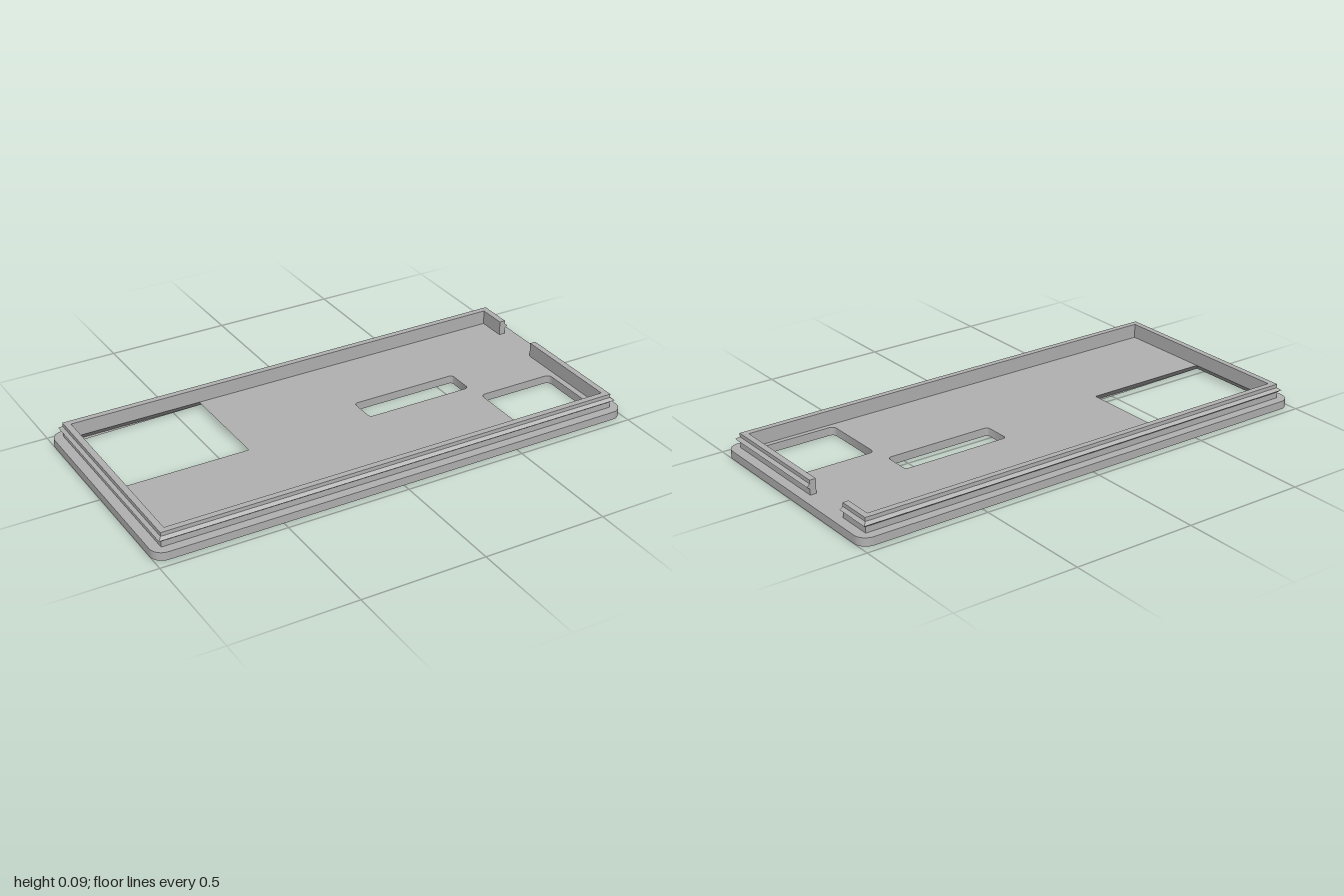
import * as THREE from 'three';
import { toCreasedNormals } from 'three/addons/utils/BufferGeometryUtils.js';

const BASE = 0.033; // thickness of the base plate

// Rounded rectangle from x0,z0 to x1,z1, drawn into a Shape or Path
function roundedRect(path, x0, z0, x1, z1, r) {
  path.moveTo(x0 + r, z0);
  path.lineTo(x1 - r, z0);
  path.absarc(x1 - r, z0 + r, r, -Math.PI / 2, 0);
  path.lineTo(x1, z1 - r);
  path.absarc(x1 - r, z1 - r, r, 0, Math.PI / 2);
  path.lineTo(x0 + r, z1);
  path.absarc(x0 + r, z1 - r, r, Math.PI / 2, Math.PI);
  path.lineTo(x0, z0 + r);
  path.absarc(x0 + r, z0 + r, r, Math.PI, Math.PI * 1.5);
  return path;
}

// Plate with two rounded openings and a window that widens towards the underside
function plateGeometry() {
  const shape = roundedRect(new THREE.Shape(), -1, -0.468, 1, 0.468, 0.05);
  const win = { x0: -0.935, x1: -0.4, z0: -0.405, z1: 0.01 };
  shape.holes.push(
    roundedRect(new THREE.Path(), 0.118, -0.092, 0.572, 0.026, 0.015),
    roundedRect(new THREE.Path(), 0.583, 0.1, 0.91, 0.385, 0.02),
    new THREE.Path([
      new THREE.Vector2(win.x0, win.z0), new THREE.Vector2(win.x1, win.z0),
      new THREE.Vector2(win.x1, win.z1), new THREE.Vector2(win.x0, win.z1),
    ]),
  );
  const geo = new THREE.ExtrudeGeometry(shape, { depth: BASE, bevelEnabled: false, curveSegments: 8 });
  geo.rotateX(Math.PI / 2).translate(0, BASE, 0);

  // Push the lower window corners outwards to slope its four sides
  const p = geo.attributes.position;
  const near = (a, b) => Math.abs(a - b) < 1e-4;
  for (let i = 0; i < p.count; i++) {
    const x = p.getX(i), z = p.getZ(i);
    const onX = near(x, win.x0) || near(x, win.x1);
    const onZ = near(z, win.z0) || near(z, win.z1);
    if (p.getY(i) > 1e-4 || !onX || !onZ) continue;
    p.setX(i, x + (near(x, win.x0) ? -BASE : BASE));
    p.setZ(i, z + (near(z, win.z0) ? -BASE : BASE));
  }
  return toCreasedNormals(geo, 0.5);
}

// Upright rim with a snap ridge, swept with mitred corners and open at a gap
function rimGeometry() {
  // Cross-section: distance outwards, height
  const profile = [[-0.025, BASE], [0, BASE], [0, 0.057], [0.013, 0.067], [0, 0.077], [0, 0.092], [-0.025, 0.092]]
    .map(([o, y]) => new THREE.Vector2(o, y));
  // Path: x, z and the outward direction at each station
  const path = [
    [0.96, -0.07, 1, 0], [0.96, 0.43, 1, 1], [-0.96, 0.43, -1, 1],
    [-0.96, -0.43, -1, -1], [0.96, -0.43, 1, -1], [0.96, -0.287, 1, 0],
  ];
  const rings = path.map(([x, z, dx, dz]) => profile.map((q) => [x + q.x * dx, q.y, z + q.x * dz]));
  const out = [];
  const tri = (a, b, c) => out.push(...a, ...b, ...c);
  const n = profile.length;
  for (let s = 0; s < rings.length - 1; s++) {
    for (let i = 0; i < n; i++) {
      const j = (i + 1) % n, A = rings[s], B = rings[s + 1];
      tri(A[i], A[j], B[j]);
      tri(A[i], B[j], B[i]);
    }
  }
  // End faces at the gap
  const first = rings[0], last = rings[rings.length - 1];
  for (const [a, b, c] of THREE.ShapeUtils.triangulateShape(profile, [])) {
    tri(first[a], first[c], first[b]);
    tri(last[a], last[b], last[c]);
  }
  const geo = new THREE.BufferGeometry();
  geo.setAttribute('position', new THREE.Float32BufferAttribute(out, 3));
  // Face the sweep outwards whichever way the path runs
  let volume = 0;
  const v = [0, 1, 2].map(() => new THREE.Vector3());
  const p = geo.attributes.position;
  for (let i = 0; i < p.count; i += 3) {
    v.forEach((q, k) => q.fromBufferAttribute(p, i + k));
    volume += v[0].dot(v[1].clone().cross(v[2]));
  }
  if (volume < 0) {
    for (let i = 0; i < p.count; i += 3) {
      v.forEach((q, k) => q.fromBufferAttribute(p, i + k));
      p.setXYZ(i + 1, v[2].x, v[2].y, v[2].z);
      p.setXYZ(i + 2, v[1].x, v[1].y, v[1].z);
    }
  }
  geo.computeVertexNormals();
  return geo;
}

export function createModel() {
  const grey = new THREE.MeshStandardMaterial({ color: 0xb2b2b2 });
  grey.name = 'grey plastic';
  const model = new THREE.Group();
  model.name = 'caseLid';
  const add = (name, geo) => {
    const mesh = new THREE.Mesh(geo, grey);
    mesh.name = name;
    model.add(mesh);
  };
  add('basePlate', plateGeometry());
  add('snapRim', rimGeometry());
  return model;
}
